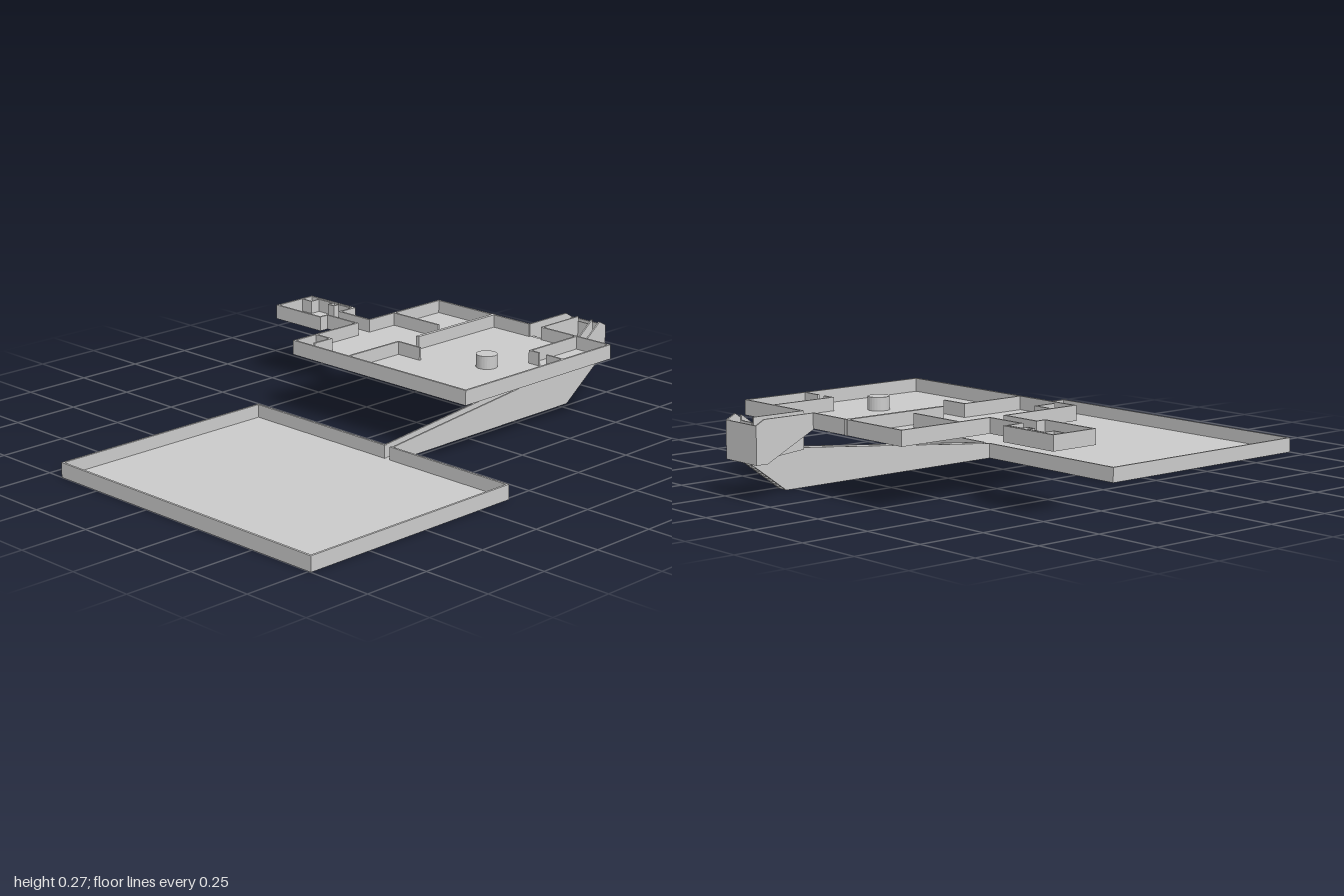
import * as THREE from 'three';

const mat = new THREE.MeshStandardMaterial({ color: 0xcccccc, flatShading: true, side: THREE.DoubleSide });
const T = 0.008; // wall thickness
const FLOOR = 0.006;

export function createModel() {
  const root = new THREE.Group();

  const add = (name, geometry, parent = root) => {
    const mesh = new THREE.Mesh(geometry, mat);
    mesh.name = name;
    parent.add(mesh);
    return mesh;
  };

  // Axis-aligned box given by its limits
  const box = (name, x0, x1, y0, y1, z0, z1, parent) => add(name,
    new THREE.BoxGeometry(x1 - x0, y1 - y0, z1 - z0)
      .translate((x0 + x1) / 2, (y0 + y1) / 2, (z0 + z1) / 2), parent);

  // Upright walls following a path of [x, z] points
  const walls = (name, pts, y0, y1, t = T) => {
    const group = new THREE.Group();
    group.name = name;
    root.add(group);
    for (let i = 1; i < pts.length; i++) {
      const [ax, az] = pts[i - 1], [bx, bz] = pts[i];
      box('wall', Math.min(ax, bx) - t / 2, Math.max(ax, bx) + t / 2, y0, y1,
        Math.min(az, bz) - t / 2, Math.max(az, bz) + t / 2, group);
    }
  };

  // Side profile of [z, y] points, extruded from x0 to x1
  const profile = (name, pts, x0, x1) => {
    const shape = new THREE.Shape(pts.map(([z, y]) => new THREE.Vector2(-z, y)));
    add(name, new THREE.ExtrudeGeometry(shape, { depth: x1 - x0, bevelEnabled: false })
      .rotateY(Math.PI / 2).translate(x0, 0, 0));
  };

  // Thin folded flight of steps, open underneath
  const stairs = (name, x0, x1, z0, y0, z1, y1, n) => {
    const top = [], dz = (z1 - z0) / n, dy = (y1 - y0) / n;
    for (let i = 0; i < n; i++) {
      top.push([z0 + i * dz, y0 + i * dy], [z0 + i * dz, y0 + (i + 1) * dy]);
    }
    top.push([z1, y1]);
    const s = Math.sign(dz) * 0.003;
    const under = top.map(([z, y]) => [z + s, y - 0.003]).reverse();
    profile(name, [...top, ...under], x0, x1);
  };

  // Lower hall
  box('lowerFloor', -0.435, 0.76, 0, FLOOR, 0.11, 1);
  walls('lowerWalls', [[0.199, 0.114], [-0.431, 0.114], [-0.431, 0.996], [0.756, 0.996],
    [0.756, 0.114], [0.231, 0.114]], 0, 0.053);

  // Upper storey: main floor, passage and side room
  const Y = 0.22, H = 0.273;
  box('upperFloor', -0.385, 0.45, Y, Y + FLOOR, -0.77, -0.015);
  box('passageFloor', -0.53, -0.385, Y, Y + FLOOR, -0.4, -0.327);
  box('sideRoomFloor', -0.765, -0.53, Y, Y + FLOOR, -0.473, -0.29);
  walls('upperWalls', [[0.135, -0.766], [0.446, -0.766], [0.446, -0.019], [-0.381, -0.019],
    [-0.381, -0.331], [-0.534, -0.331], [-0.534, -0.294], [-0.761, -0.294], [-0.761, -0.469],
    [-0.534, -0.469], [-0.534, -0.396], [-0.381, -0.396], [-0.381, -0.766], [0.07, -0.766]], Y, H);

  // Partitions
  walls('longPartition', [[-0.105, -0.766], [-0.105, -0.37]], Y, H, 0.014);
  walls('leftPartition', [[-0.381, -0.525], [-0.158, -0.525]], Y, H);
  walls('cornerRoomPartition', [[0.295, -0.766], [0.295, -0.517], [0.333, -0.517]], Y, H);
  walls('cornerRoomJamb', [[0.375, -0.517], [0.446, -0.517]], Y, H);
  walls('frontPartition', [[-0.11, -0.019], [-0.11, -0.27], [-0.008, -0.27]], Y, H);
  walls('closetPartition', [[-0.381, -0.125], [-0.306, -0.125], [-0.306, -0.048]], Y, H);
  walls('sideRoomNiches', [[-0.761, -0.418], [-0.71, -0.418], [-0.71, -0.458], [-0.633, -0.458],
    [-0.633, -0.434], [-0.605, -0.434], [-0.605, -0.458], [-0.534, -0.458]], Y, H, 0.005);

  // Round pedestal
  add('pedestal', new THREE.CylinderGeometry(0.038, 0.038, H - Y, 24).translate(0.213, (Y + H) / 2, -0.38));

  // Long corridor and the lower flight
  const x0 = 0.07, x1 = 0.135, x2 = 0.195, x3 = 0.237, L = 0.125;
  box('corridorFloor', x2, x3, 0, FLOOR, -0.79, 0.11);
  stairs('lowerStairs', x2, x3, -0.79, 0.004, -0.96, L + 0.004, 12);
  const low = [[0.11, 0], [-0.79, 0], [-0.96, L]];
  const rail = [[-0.965, H], [-0.79, 0.143], [0.11, 0.053]];
  profile('corridorOuterWall', [...low, [-1, L], [-1, 0.255], ...rail], x3 - 0.006, x3);
  profile('corridorInnerWall', [...low, [-0.968, L], [-0.968, H], ...rail], x2, x2 + 0.006);

  // Landing and the upper flight
  box('landing', x0, x3, L, L + 0.005, -1, -0.96);
  box('landingBackWall', x0, x3, L, 0.255, -1, -0.994);
  box('landingFrontWall', x1, x2, L, 0.255, -0.97, -0.965);
  stairs('upperStairs', x0, x1, -0.955, L + 0.004, -0.77, Y + 0.004, 12);
  profile('upperStairOuterWall', [[-1, L], [-0.955, L], [-0.765, Y], [-0.765, H], [-0.967, H], [-1, 0.255]],
    x0, x0 + 0.006);
  profile('upperStairInnerWall', [[-0.967, L], [-0.765, 0.143], [-0.765, H], [-0.967, H]], x1 - 0.006, x1);

  return root;
}
